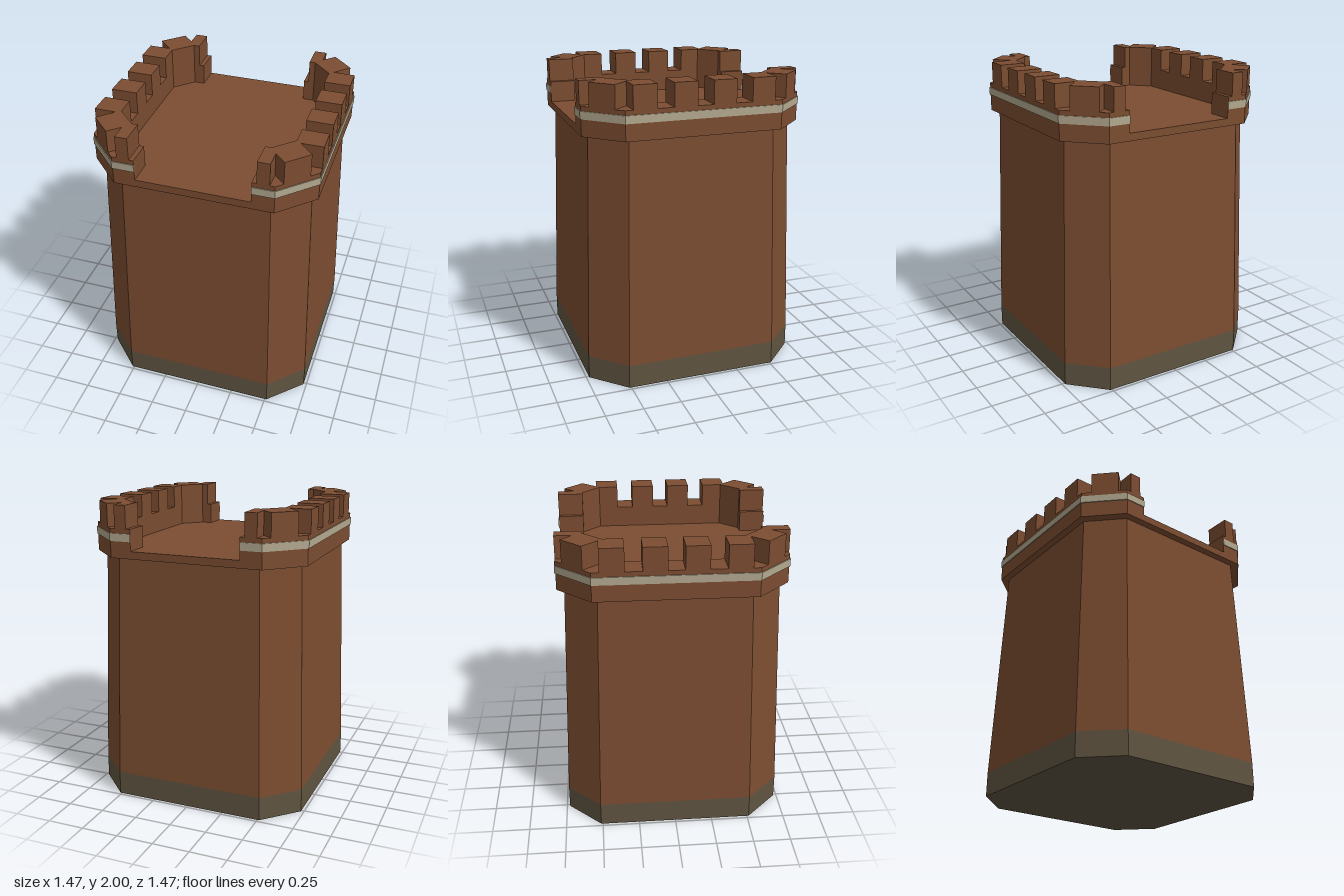
import * as THREE from 'three';

const mat = (name, color) => {
  const m = new THREE.MeshStandardMaterial({ color });
  m.name = name;
  return m;
};

// Square plan with chamfered corners: half width h, corner start c
const octagon = (h, c) => [[c, h], [h, c], [h, -c], [c, -h], [-c, -h], [-h, -c], [-h, c], [-c, h]];

// Upright prism from a plan outline of [x, z] points
function prism(points, y0, y1) {
  const shape = new THREE.Shape(points.map(([x, z]) => new THREE.Vector2(x, -z)));
  const g = new THREE.ExtrudeGeometry(shape, { depth: y1 - y0, bevelEnabled: false });
  g.rotateX(-Math.PI / 2);
  g.translate(0, y0, 0);
  return g;
}

export function createModel() {
  const brick = mat('brown brick', 0x7c4d31);
  const stone = mat('dark foundation stone', 0x5f5441);
  const trim = mat('pale trim', 0xb3a98f);

  const group = new THREE.Group();
  group.name = 'tower';
  const add = (name, geometry, material) => {
    const mesh = new THREE.Mesh(geometry, material);
    mesh.name = name;
    group.add(mesh);
  };

  // Foundation
  add('foundation', prism(octagon(0.73, 0.512), 0, 0.16), stone);

  // Tapered shaft: narrows towards the top
  const shaft = prism(octagon(0.73, 0.512), 0.16, 1.66);
  const p = shaft.attributes.position;
  for (let i = 0; i < p.count; i++) {
    if (p.getY(i) > 1) {
      p.setX(i, p.getX(i) * 0.935);
      p.setZ(i, p.getZ(i) * 0.935);
    }
  }
  shaft.computeVertexNormals();
  add('shaft', shaft, brick);

  // Overhanging deck
  add('deck', prism(octagon(0.73, 0.512), 1.66, 1.71), brick);

  // Half outlines (z > 0), completed by mirroring across z
  const outerHalf = [[0.37, 0.73], [0.512, 0.73], [0.73, 0.512]];
  const innerHalf = [[0.56, 0.44], [0.44, 0.56], [0.37, 0.56]];
  const trimOuter = [[0.37, 0.736], [0.514, 0.736], [0.736, 0.514]];
  const flipZ = (pts) => pts.map(([x, z]) => [x, -z]).reverse();
  const wallPlan = [...outerHalf, ...flipZ(outerHalf), ...flipZ(innerHalf), ...innerHalf];
  const trimPlan = [...trimOuter, ...flipZ(trimOuter), ...outerHalf.map(([x, z]) => [x, -z]), ...[...outerHalf].reverse()];

  // Corner battlement with a V notch on either side of the diagonal
  const cornerPlan = [
    [0.40, 0.56], [0.44, 0.56], [0.56, 0.44], [0.56, 0.31], [0.73, 0.31], [0.73, 0.463],
    [0.59, 0.463], [0.682, 0.56], [0.553, 0.689], [0.48, 0.617], [0.48, 0.73], [0.40, 0.73],
  ];

  for (const sx of [1, -1]) {
    const side = sx > 0 ? 'left' : 'right';
    const flip = (pts, sz = 1) => pts.map(([x, z]) => [x * sx, z * sz]);

    // Parapet wall and its trim band
    add(`${side}Parapet`, prism(flip(wallPlan), 1.71, 1.85), brick);
    add(`${side}TrimBand`, prism(flip(trimPlan), 1.77, 1.82), trim);

    for (const sz of [1, -1]) {
      const end = sz > 0 ? 'Front' : 'Back';
      add(`${side}${end}CornerBattlement`, prism(flip(cornerPlan, sz), 1.85, 2), brick);
      // Merlon on the side wall
      const merlon = [[0.56, 0.052], [0.73, 0.052], [0.73, 0.203], [0.56, 0.203]];
      add(`${side}${end}Merlon`, prism(flip(merlon, sz), 1.85, 2), brick);
    }
  }
  return group;
}
